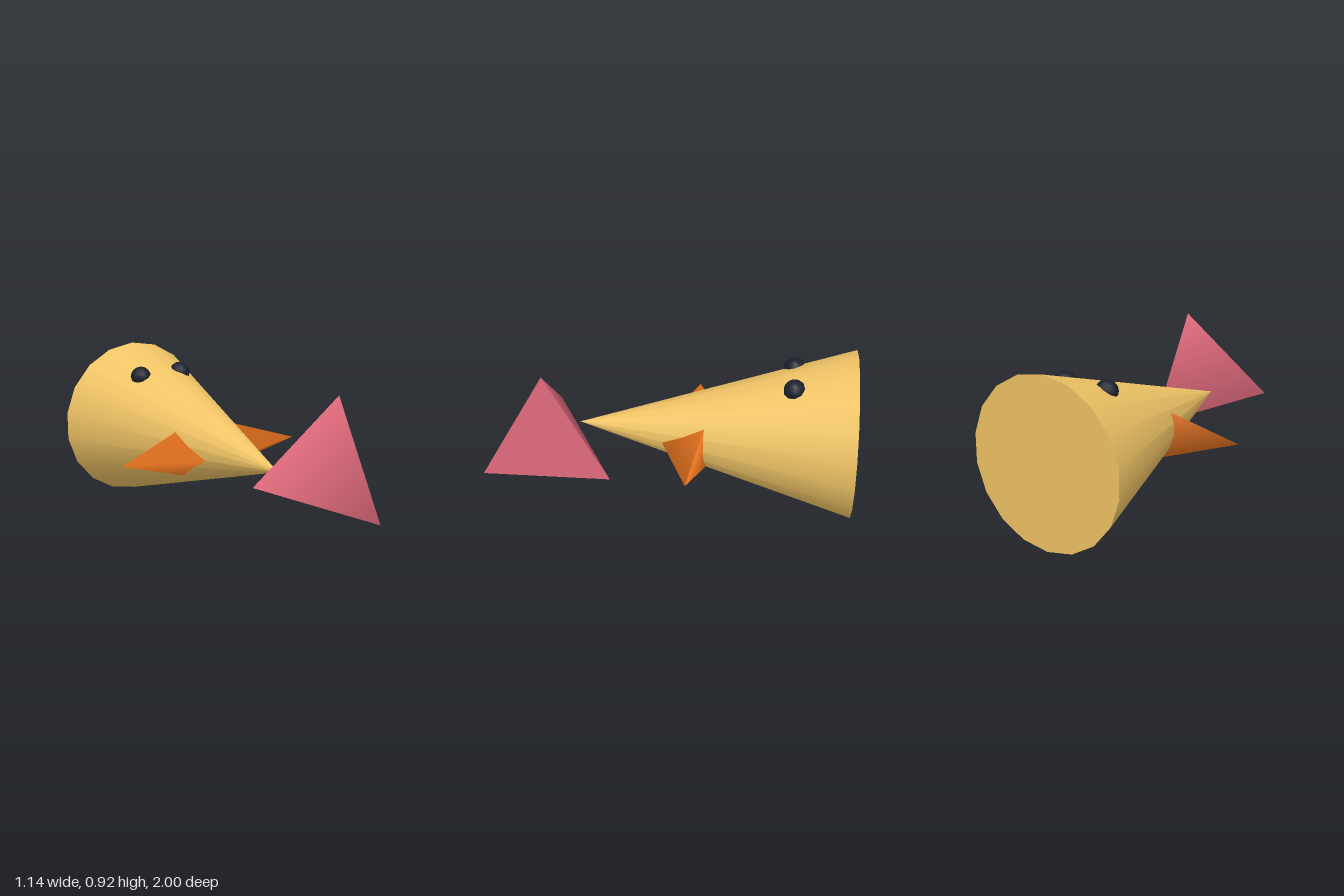
import * as THREE from 'three';

const mat = (color) => new THREE.MeshStandardMaterial({ color });

export function createModel() {
  const group = new THREE.Group();
  const add = (name, geometry, material, x, y, z) => {
    const mesh = new THREE.Mesh(geometry, material);
    mesh.name = name;
    mesh.position.set(x, y, z);
    group.add(mesh);
    return mesh;
  };
  const midY = 0.463;

  // Body: a long cone, flat face at the back and tip to the front
  const body = new THREE.ConeGeometry(0.46, 1.5, 18);
  body.rotateX(Math.PI / 2);
  add('body', body, mat(0xf0c466), 0, midY, -0.25);

  // Tail: three-sided cone lying sideways, one corner up
  const tail = new THREE.ConeGeometry(0.402, 0.54, 3, 1, false, Math.PI / 2);
  tail.rotateZ(Math.PI / 2);
  add('tail', tail, mat(0xe06a7c), 0, midY, 0.65);

  // Fins and eyes, one of each per side
  const finMaterial = mat(0xf07820);
  const eyeMaterial = mat(0x1a1f2b);
  for (const [side, s] of [['left', 1], ['right', -1]]) {
    // Three-sided cone pointing outward, one corner towards +z
    const fin = new THREE.ConeGeometry(0.2, 0.54, 3);
    fin.rotateZ(-s * Math.PI / 2);
    add(side + 'Fin', fin, finMaterial, s * 0.302, 0.434, -0.13);

    const eye = new THREE.SphereGeometry(0.06, 10, 8);
    add(side + 'Eye', eye, eyeMaterial, s * 0.133, 0.782, -0.67);
  }
  return group;
}
